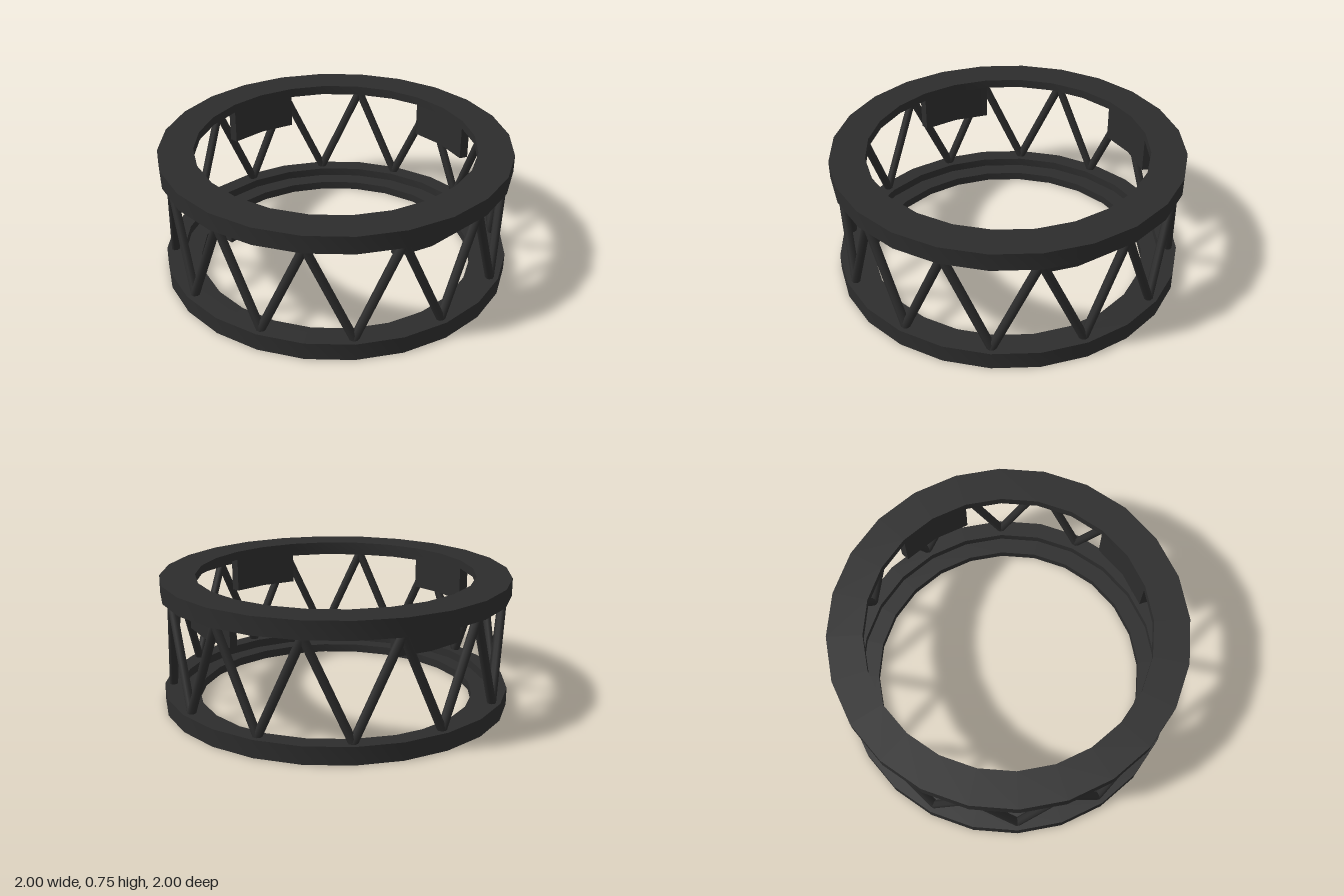
import * as THREE from 'three';
import { toCreasedNormals } from 'three/addons/utils/BufferGeometryUtils.js';

const SEGMENTS = 24;
const STEP = Math.PI / 12;

export function createModel() {
  const model = new THREE.Group();
  model.name = 'trussRing';
  const darkMetal = new THREE.MeshStandardMaterial({ color: 0x2d2d2d });
  darkMetal.name = 'darkMetal';

  const add = (name, geometry, parent = model) => {
    const mesh = new THREE.Mesh(geometry, darkMetal);
    mesh.name = name;
    parent.add(mesh);
    return mesh;
  };

  // Stepped rings: full height outside, half height on the inner ledge
  const ring = (points) => toCreasedNormals(
    new THREE.LatheGeometry(points.map(([r, y]) => new THREE.Vector2(r, y)), SEGMENTS), 0.6);
  add('bottomRing', ring([
    [0.8, 0], [1, 0], [1, 0.1], [0.9, 0.1], [0.9, 0.05], [0.8, 0.05], [0.8, 0]]));
  add('topRing', ring([
    [0.8, 0.7], [0.9, 0.7], [0.9, 0.65], [1, 0.65], [1, 0.75], [0.8, 0.75], [0.8, 0.7]]));

  // Zigzag struts between the rings
  const struts = new THREE.Group();
  struts.name = 'struts';
  model.add(struts);
  const node = (i) => new THREE.Vector3(
    0.95 * Math.sin(i * STEP), i % 2 ? 0.65 : 0.1, 0.95 * Math.cos(i * STEP));
  const up = new THREE.Vector3(0, 1, 0);
  const length = node(0).distanceTo(node(1));
  const strutGeometry = new THREE.CylinderGeometry(0.025, 0.025, length, 8);
  for (let i = 0; i < SEGMENTS; i++) {
    // Always run from the lower node to the upper one
    const low = node(i % 2 ? i + 1 : i);
    const high = node(i % 2 ? i : i + 1);
    const strut = add('strut', strutGeometry, struts);
    strut.position.copy(low).add(high).multiplyScalar(0.5);
    strut.quaternion.setFromUnitVectors(up, high.sub(low).normalize());
  }

  // Four curved tabs hanging under the inner ledge of the top ring
  const at = (r, a) => new THREE.Vector2(r * Math.cos(a), r * Math.sin(a));
  const tabShape = new THREE.Shape([
    at(0.8, -STEP), at(0.85, -STEP), at(0.85, 0), at(0.85, STEP), at(0.8, STEP), at(0.8, 0)]);
  const tabGeometry = toCreasedNormals(
    new THREE.ExtrudeGeometry(tabShape, { depth: 0.2, bevelEnabled: false })
      .rotateX(-Math.PI / 2).translate(0, 0.5, 0), 0.6);
  for (let i = 0; i < 4; i++) {
    add('hangingTab', tabGeometry).rotation.y = i * Math.PI / 2;
  }

  return model;
}
